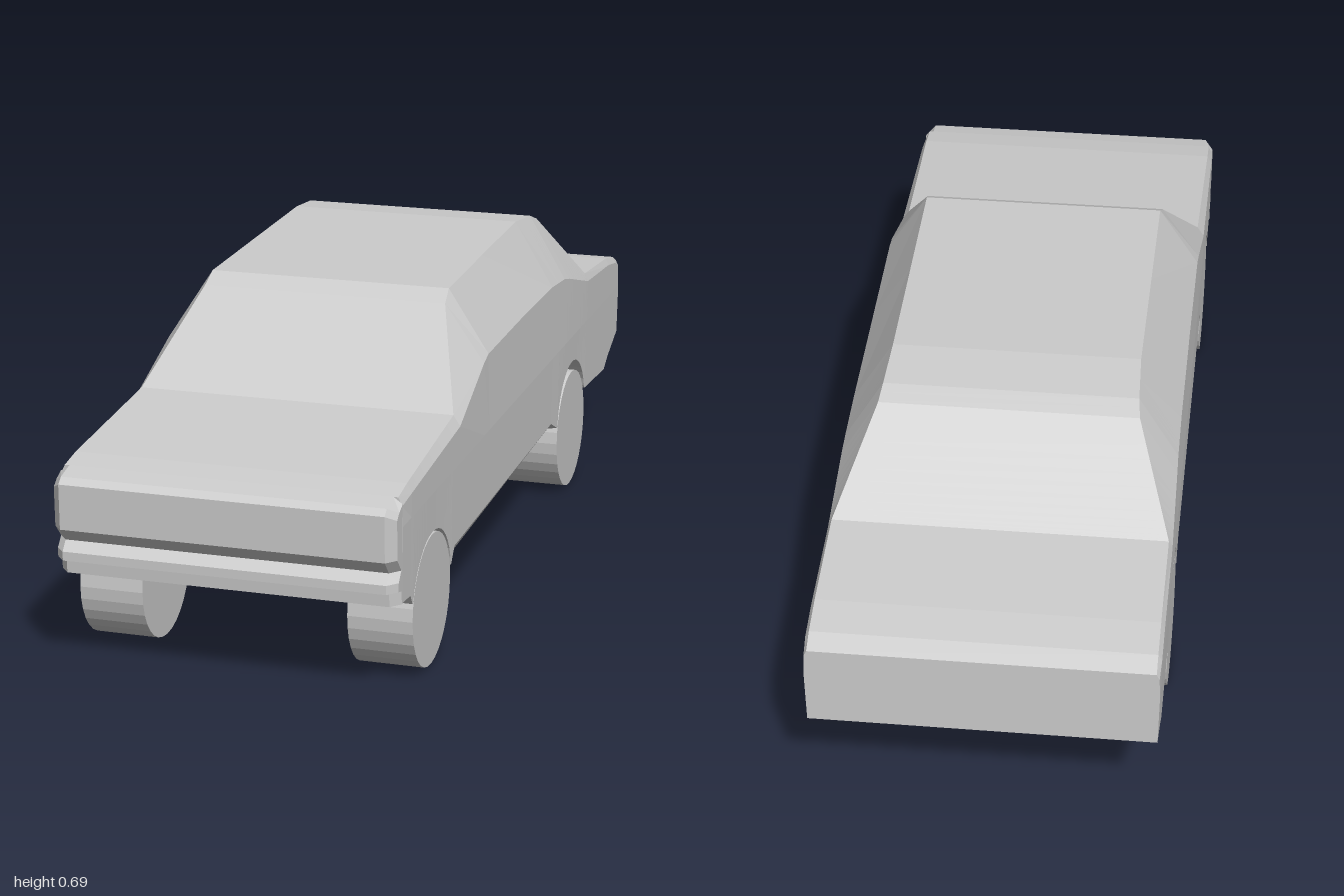
import * as THREE from 'three';

const material = new THREE.MeshStandardMaterial({ color: 0xcccccc, flatShading: true });

// Upper body along z: [z, top y, top half width, shoulder y, shoulder half width]
const UPPER = [
  [0.94, 0.43, 0.35, 0.412, 0.358],
  [0.88, 0.44, 0.35, 0.42, 0.36],
  [0.52, 0.473, 0.345, 0.45, 0.36],
  [0.32, 0.655, 0.27, 0.53, 0.357],
  [0.28, 0.678, 0.267, 0.54, 0.356],
  [0, 0.684, 0.266, 0.542, 0.355],
  [-0.3, 0.69, 0.265, 0.54, 0.355],
  [-0.42, 0.677, 0.27, 0.53, 0.356],
  [-0.465, 0.66, 0.275, 0.52, 0.357],
  [-0.65, 0.487, 0.352, 0.468, 0.36],
  [-0.88, 0.468, 0.352, 0.452, 0.36],
  [-0.96, 0.453, 0.352, 0.438, 0.36],
  [-1, 0.435, 0.352, 0.422, 0.358],
];

// Underside along z: [z, floor y, outer sill y]
const LOWER = [
  [0.94, 0.21, 0.21], [0.88, 0.205, 0.205], [0.855, 0.168, 0.168],
  [0.58, 0.16, 0.16], [0.55, 0.16, 0.198], [-0.3, 0.177, 0.21],
  [-0.37, 0.178, 0.178], [-0.645, 0.2, 0.2], [-0.86, 0.187, 0.187],
  [-0.9, 0.21, 0.21], [-1, 0.25, 0.25],
];

const ARCHES = [
  { z: 0.72, y: 0.14, r: 0.146 },
  { z: -0.505, y: 0.163, r: 0.142 },
];

// Linear lookup in a table sorted by falling z
function sample(table, z) {
  let i = 0;
  while (i < table.length - 2 && z < table[i + 1][0]) i++;
  const a = table[i], b = table[i + 1];
  const t = (z - a[0]) / (b[0] - a[0]);
  return a.slice(1).map((v, k) => THREE.MathUtils.lerp(v, b[k + 1], t));
}

// Joins closed rings into a capped solid; flatten gives the 2D view of an end ring
function loft(rings, flatten) {
  const n = rings[0].length, pos = [], index = [];
  rings.forEach(ring => ring.forEach(p => pos.push(...p)));
  for (let i = 0; i < rings.length - 1; i++) {
    for (let j = 0; j < n; j++) {
      const a = i * n + j, b = i * n + (j + 1) % n;
      index.push(a, a + n, b, b, a + n, b + n);
    }
  }
  const last = (rings.length - 1) * n;
  const cap = ring => THREE.ShapeUtils.triangulateShape(ring.map(flatten), []);
  cap(rings[0]).forEach(([a, b, c]) => index.push(a, b, c));
  cap(rings[rings.length - 1]).forEach(([a, b, c]) => index.push(last + a, last + c, last + b));
  const g = new THREE.BufferGeometry();
  g.setAttribute('position', new THREE.Float32BufferAttribute(pos, 3));
  g.setIndex(index);
  const flat = g.toNonIndexed();
  flat.computeVertexNormals();
  return flat;
}

// Body cross-section at z, with the wheel wells cut up from below
function bodyRing(z) {
  const [topY, topX, shoulderY, shoulderX] = sample(UPPER, z);
  const [floor, sill] = sample(LOWER, z);
  let under = floor, edge = sill;
  for (const a of ARCHES) {
    const d = Math.abs(z - a.z);
    if (d < a.r) {
      const h = a.y + Math.sqrt(a.r * a.r - d * d);
      under = Math.max(under, h);
      edge = Math.max(edge, h);
    }
  }
  const half = [
    [0.21, floor], [0.21, under], [0.335, under], [0.358, edge],
    [0.36, 0.37], [shoulderX, shoulderY], [topX, topY],
  ];
  const mirrored = half.map(([x, y]) => [-x, y]).reverse();
  return [...half, ...mirrored].map(([x, y]) => [x, y, z]);
}

function buildBody() {
  const stations = [...UPPER, ...LOWER].map(row => row[0]);
  for (const a of ARCHES) {
    for (let i = 0; i <= 20; i++) stations.push(a.z + a.r * Math.cos(Math.PI * i / 20));
  }
  const zs = stations.sort((a, b) => b - a).filter((z, i, s) => i === 0 || s[i - 1] - z > 1e-4);
  return loft(zs.map(bodyRing), p => new THREE.Vector2(p[0], p[1]));
}

// Front panel: grille, recess and bumper profile with chamfered outer corners
function buildNose() {
  const profile = [
    [0.94, 0.43], [0.985, 0.42], [1, 0.408], [0.998, 0.312], [0.97, 0.282],
    [0.988, 0.262], [0.988, 0.243], [0.968, 0.238], [0.966, 0.21], [0.94, 0.21],
  ];
  const ring = (x, inset) => profile.map(([z, y]) => [
    x, y > 0.4 ? y - inset * 0.6 : y, z > 0.95 ? z - inset : z,
  ]);
  const rings = [ring(0.359, 0.022), ring(0.34, 0), ring(-0.34, 0), ring(-0.359, 0.022)];
  return loft(rings, p => new THREE.Vector2(-p[2], p[1]));
}

export function createModel() {
  const car = new THREE.Group();
  car.name = 'car';
  const add = (name, geometry) => {
    const mesh = new THREE.Mesh(geometry, material);
    mesh.name = name;
    car.add(mesh);
    return mesh;
  };

  add('body', buildBody());
  add('frontPanel', buildNose());

  // Wheels
  const wheel = new THREE.CylinderGeometry(0.14, 0.14, 0.137, 32).rotateZ(Math.PI / 2);
  for (const [end, z] of [['front', 0.72], ['rear', -0.505]]) {
    for (const [side, s] of [['Left', 1], ['Right', -1]]) {
      add(`${end}${side}Wheel`, wheel).position.set(s * 0.2885, 0.14, z);
    }
  }
  return car;
}
